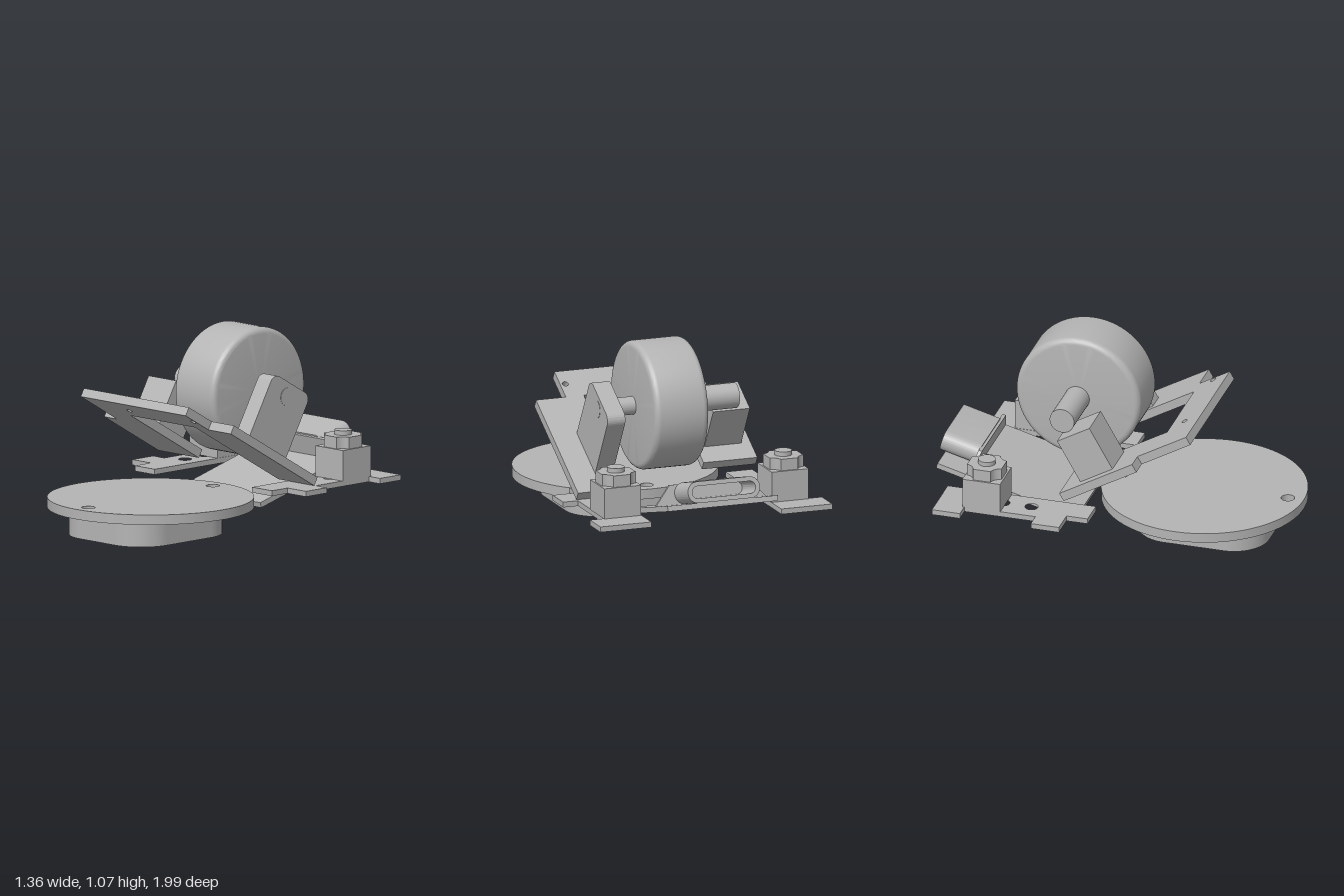
import * as THREE from 'three';
import { toCreasedNormals } from 'three/addons/utils/BufferGeometryUtils.js';

const gray = new THREE.MeshStandardMaterial({ color: 0xb4b4b4 });
gray.name = 'plain gray';

function add(parent, name, geometry, x = 0, y = 0, z = 0) {
  const mesh = new THREE.Mesh(geometry, gray);
  mesh.name = name;
  mesh.position.set(x, y, z);
  parent.add(mesh);
  return mesh;
}

function box(parent, name, x0, x1, y0, y1, z0, z1) {
  return add(parent, name, new THREE.BoxGeometry(x1 - x0, y1 - y0, z1 - z0),
    (x0 + x1) / 2, (y0 + y1) / 2, (z0 + z1) / 2);
}

const poly = (pts) => new THREE.Shape(pts.map(([x, y]) => new THREE.Vector2(x, y)));

function hole(shape, x, y, r) {
  shape.holes.push(new THREE.Path().absarc(x, y, r, 0, Math.PI * 2, true));
}

function roundRect(s, x0, y0, x1, y1, r) {
  s.moveTo(x0 + r, y0);
  s.lineTo(x1 - r, y0);
  s.absarc(x1 - r, y0 + r, r, -Math.PI / 2, 0);
  s.lineTo(x1, y1 - r);
  s.absarc(x1 - r, y1 - r, r, 0, Math.PI / 2);
  s.lineTo(x0 + r, y1);
  s.absarc(x0 + r, y1 - r, r, Math.PI / 2, Math.PI);
  s.lineTo(x0, y0 + r);
  s.absarc(x0 + r, y0 + r, r, Math.PI, Math.PI * 1.5);
  return s;
}

function extrude(shape, depth) {
  const g = new THREE.ExtrudeGeometry(shape, { depth, bevelEnabled: false, curveSegments: 24 });
  return toCreasedNormals(g, 0.5);
}

// Horizontal slab: shape y runs towards -z, thickness runs upwards
const slab = (shape, t) => extrude(shape, t).rotateX(-Math.PI / 2);

// Horizontal cylinder along x
function rod(parent, name, r, x0, x1, y, z) {
  const g = new THREE.CylinderGeometry(r, r, x1 - x0, 40).rotateZ(Math.PI / 2);
  add(parent, name, g, (x0 + x1) / 2, y, z);
}

function buildBase(root) {
  const disc = new THREE.Shape().absarc(0.08, -0.435, 0.565, 0, Math.PI * 2);
  hole(disc, 0.08, -0.91, 0.037);
  hole(disc, 0.08, 0.04, 0.037);
  const g = new THREE.ExtrudeGeometry(disc, { depth: 0.055, bevelEnabled: false, curveSegments: 72 });
  add(root, 'baseDisc', toCreasedNormals(g, 0.5).rotateX(-Math.PI / 2), 0, 0.145, 0);
  const foot = roundRect(new THREE.Shape(), -0.255, -0.845, 0.42, -0.105, 0.2);
  add(root, 'baseFoot', slab(foot, 0.145));
}

function buildTiltedFrame(root) {
  const frame = new THREE.Group();
  frame.name = 'tiltedFrame';
  frame.position.set(0, 0.7, 0.5);
  frame.rotation.x = -Math.PI / 6;
  root.add(frame);

  // U-shaped plate with uneven legs
  const plate = poly([[-0.4, 0], [0.42, 0], [0.42, 0.2], [0.595, 0.2], [0.595, 0.936], [0.315, 0.936],
    [0.315, 0.2], [-0.185, 0.2], [-0.185, 0.8], [-0.5, 0.8], [-0.5, 0.32], [-0.4, 0.32]]);
  hole(plate, -0.115, 0.11, 0.017);
  hole(plate, 0.39, 0.1, 0.017);
  add(frame, 'framePlate', slab(plate, 0.05));

  // Axle supports
  box(frame, 'squareSupport', -0.445, -0.23, 0.05, 0.315, -0.68, -0.468);
  const s = new THREE.Shape();
  s.moveTo(0.48, 0.05);
  s.lineTo(0.8, 0.05);
  s.lineTo(0.8, 0.41);
  s.absarc(0.75, 0.41, 0.05, 0, Math.PI / 2);
  s.lineTo(0.53, 0.46);
  s.absarc(0.53, 0.41, 0.05, Math.PI / 2, Math.PI);
  add(frame, 'roundedSupport', extrude(s, 0.105).rotateY(Math.PI / 2), 0.345, 0, 0);
}

function buildWheel(root) {
  const R = 0.355, h = 0.1575, r = 0.035;
  const pts = [new THREE.Vector2(0, -h)];
  for (const [cy, a0] of [[-h + r, -Math.PI / 2], [h - r, 0]])
    for (let i = 0; i <= 6; i++) {
      const a = a0 + (i / 6) * Math.PI / 2;
      pts.push(new THREE.Vector2(R - r + r * Math.cos(a), cy + r * Math.sin(a)));
    }
  pts.push(new THREE.Vector2(0, h));
  const g = toCreasedNormals(new THREE.LatheGeometry(pts, 80), 0.5).rotateZ(-Math.PI / 2);
  add(root, 'wheel', g, 0.0825, 0.715, -0.243);
  rod(root, 'thickAxle', 0.07, -0.36, -0.07, 0.715, -0.245);
  rod(root, 'thinAxle', 0.05, 0.23, 0.452, 0.715, -0.245);
}

function buildSideBracket(root, side) {
  const bracket = new THREE.Group();
  bracket.name = side > 0 ? 'leftBracket' : 'rightBracket';
  root.add(bracket);
  const plate = poly([[0.38, 0.045], [0.535, 0.045], [0.535, 0.165], [0.678, 0.165], [0.678, 0.325],
    [0.592, 0.325], [0.592, 0.73], [0.678, 0.73], [0.678, 0.89], [0.38, 0.89]]
    .map(([x, y]) => [x * side, y]));
  for (const z of [0.38, 0.54, 0.7]) hole(plate, 0.485 * side, z, 0.036);
  add(bracket, 'bracketPlate', slab(plate, 0.03), 0, 0.2, 0);

  const x = 0.49 * side, z = -0.633;
  add(bracket, 'bracketBlock', new THREE.BoxGeometry(0.215, 0.17, 0.215), x, 0.315, z);

  // Four-lobed knob with scooped corners
  const knob = new THREE.Shape();
  const a = 0.098, b = 0.05, c = 0.058;
  knob.moveTo(a, -b);
  knob.lineTo(a, b);
  knob.quadraticCurveTo(c, c, b, a);
  knob.lineTo(-b, a);
  knob.quadraticCurveTo(-c, c, -a, b);
  knob.lineTo(-a, -b);
  knob.quadraticCurveTo(-c, -c, -b, -a);
  knob.lineTo(b, -a);
  knob.quadraticCurveTo(c, -c, a, -b);
  add(bracket, 'knob', slab(knob, 0.065), x, 0.4, z);
  add(bracket, 'knobCap', new THREE.CylinderGeometry(0.048, 0.048, 0.025, 32), x, 0.4775, z);
}

function buildRamp(root) {
  const ramp = new THREE.Group();
  ramp.name = 'ramp';
  ramp.position.set(0, 0.09, -0.18);
  ramp.rotation.x = Math.PI / 12;
  root.add(ramp);
  box(ramp, 'rampPlate', -0.33, 0.315, 0, 0.03, -0.82, 0);
  // Upright flange and the hollow slot behind it
  const flange = poly([[-0.33, 0.03], [0.315, 0.03], [0.225, 0.14], [-0.225, 0.14]]);
  add(ramp, 'flange', extrude(flange, 0.02), 0, 0, -0.64);
  const loop = roundRect(new THREE.Shape(), -0.22, 0.03, 0.2, 0.148, 0.057);
  loop.holes.push(roundRect(new THREE.Path(), -0.195, 0.055, 0.175, 0.123, 0.033));
  add(ramp, 'slotSleeve', extrude(loop, 0.215), 0, 0, -0.85);
}

export function createModel() {
  const root = new THREE.Group();
  root.name = 'wheelMechanism';
  buildBase(root);
  buildTiltedFrame(root);
  buildWheel(root);
  for (const side of [-1, 1]) buildSideBracket(root, side);
  buildRamp(root);
  return root;
}
